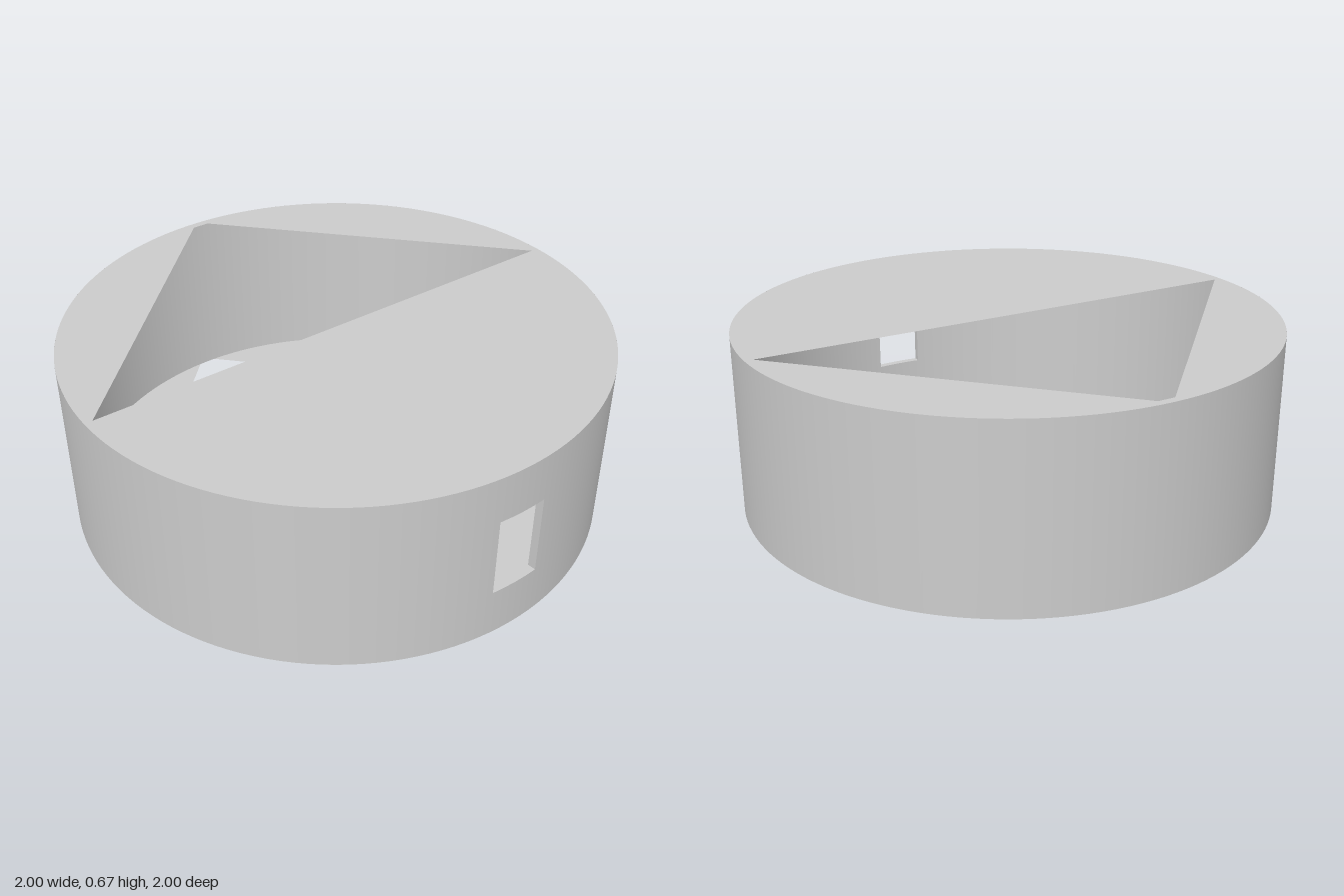
import * as THREE from 'three';

const R = 1, INNER = 0.97, H = 0.67;
const WIN_LOW = 0.185, WIN_HIGH = 0.49, WIN_ANGLE = Math.asin(0.094);

const material = new THREE.MeshStandardMaterial({ color: 0xcccccc, side: THREE.DoubleSide });

function add(parent, name, geometry) {
  const mesh = new THREE.Mesh(geometry, material);
  mesh.name = name;
  parent.add(mesh);
  return mesh;
}

// Open curved sheet between two heights; the angle starts at the front (+z)
function curvedSheet(radius, y0, y1, start, length, segments) {
  return new THREE.CylinderGeometry(radius, radius, y1 - y0, segments, 1, true, start, length)
    .translate(0, (y0 + y1) / 2, 0);
}

// Thin disc with a blunt-tipped triangular opening in its back half
function plate(tipLeft, tipRight) {
  const shape = new THREE.Shape().absarc(0, 0, R, 0, Math.PI * 2, false);
  shape.holes.push(new THREE.Path([
    [-INNER, 0], [tipLeft, -INNER], [tipRight, -INNER], [INNER, 0],
  ].map(([x, z]) => new THREE.Vector2(x, z))));
  return new THREE.ShapeGeometry(shape, 72).rotateX(Math.PI / 2);
}

export function createModel() {
  const model = new THREE.Group();
  model.name = 'drum';

  // Outer and inner wall skins, leaving the front window open
  const wall = new THREE.Group();
  wall.name = 'wall';
  model.add(wall);
  for (const [name, r] of [['outerWall', R], ['innerWall', INNER]]) {
    add(wall, name, curvedSheet(r, 0, H, WIN_ANGLE, Math.PI * 2 - 2 * WIN_ANGLE, 136));
    add(wall, name + 'BelowWindow', curvedSheet(r, 0, WIN_LOW, -WIN_ANGLE, 2 * WIN_ANGLE, 4));
    add(wall, name + 'AboveWindow', curvedSheet(r, WIN_HIGH, H, -WIN_ANGLE, 2 * WIN_ANGLE, 4));
  }

  // Window reveal: sill, lintel and two jambs through the wall thickness
  const reveal = new THREE.Group();
  reveal.name = 'windowReveal';
  model.add(reveal);
  for (const [name, y] of [['sill', WIN_LOW], ['lintel', WIN_HIGH]]) {
    const strip = new THREE.RingGeometry(INNER, R, 4, 1, Math.PI / 2 - WIN_ANGLE, 2 * WIN_ANGLE);
    add(reveal, name, strip.rotateX(Math.PI / 2)).position.y = y;
  }
  for (const [name, side] of [['leftJamb', 1], ['rightJamb', -1]]) {
    const jamb = new THREE.PlaneGeometry(R - INNER, WIN_HIGH - WIN_LOW)
      .rotateY(Math.PI / 2)
      .translate(0, (WIN_LOW + WIN_HIGH) / 2, (R + INNER) / 2)
      .rotateY(side * WIN_ANGLE);
    add(reveal, name, jamb);
  }

  // Top and bottom plates; the blunt tips are slightly offset from each other
  add(model, 'topPlate', plate(-0.02, 0.045)).position.y = H;
  add(model, 'bottomPlate', plate(-0.04, 0.03));

  return model;
}
